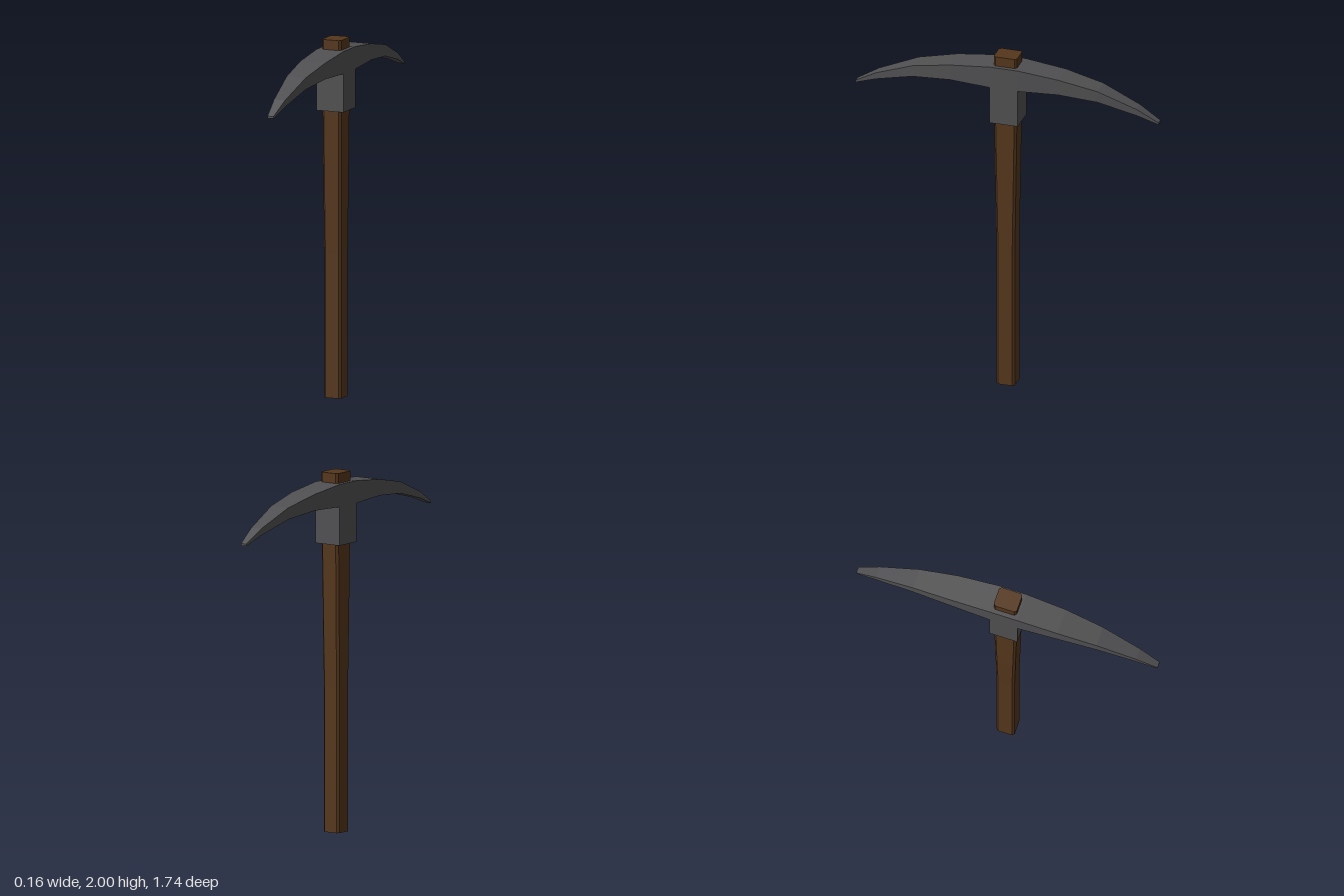
import * as THREE from 'three';

// Skin a list of rings (counter-clockwise about the direction of travel) and cap both ends
function loft(rings) {
  const pos = [];
  const tri = (...pts) => pts.forEach((p) => pos.push(...p));
  const n = rings[0].length;
  for (let k = 0; k < rings.length - 1; k++) {
    const r = rings[k], s = rings[k + 1];
    for (let i = 0; i < n; i++) {
      const j = (i + 1) % n;
      tri(r[i], r[j], s[j]);
      tri(r[i], s[j], s[i]);
    }
  }
  const first = rings[0], last = rings[rings.length - 1];
  for (let i = 1; i < n - 1; i++) {
    tri(first[0], first[i + 1], first[i]);
    tri(last[0], last[i], last[i + 1]);
  }
  const g = new THREE.BufferGeometry();
  g.setAttribute('position', new THREE.Float32BufferAttribute(pos, 3));
  g.computeVertexNormals();
  return g;
}

// Rectangle with chamfered corners, lying at height y
function handleRing([y, w, d]) {
  const c = 0.012;
  return [
    [-w + c, y, d], [w - c, y, d], [w, y, d - c], [w, y, -d + c],
    [w - c, y, -d], [-w + c, y, -d], [-w, y, -d + c], [-w, y, d - c],
  ];
}

export function createModel() {
  const group = new THREE.Group();
  const wood = new THREE.MeshStandardMaterial({ color: 0x54361c, flatShading: true });
  const iron = new THREE.MeshStandardMaterial({ color: 0x505052, flatShading: true });
  const add = (name, geometry, material) => {
    const mesh = new THREE.Mesh(geometry, material);
    mesh.name = name;
    group.add(mesh);
    return mesh;
  };

  // Handle: height, half width, half depth; it swells towards the head
  const handle = [[0, 0.052, 0.052], [0.8, 0.052, 0.052], [1.1, 0.054, 0.057], [1.6, 0.056, 0.065], [2, 0.057, 0.067]];
  add('handle', loft(handle.map(handleRing)), wood);

  // Curved double pick: distance from centre, half width, bottom, top
  const half = [
    [0.08, 0.081, 1.82, 1.945],
    [0.31, 0.074, 1.83, 1.92],
    [0.53, 0.057, 1.81, 1.875],
    [0.75, 0.033, 1.75, 1.787],
    [0.87, 0.018, 1.705, 1.717],
  ];
  const mirrored = half.map(([z, ...rest]) => [-z, ...rest]).reverse();
  const rings = [...mirrored, ...half].map(([z, w, b, t]) => [[-w, b, z], [w, b, z], [w, t, z], [-w, t, z]]);
  add('pickHead', loft(rings), iron);

  // Square socket below the pick head
  add('socket', new THREE.BoxGeometry(0.162, 0.225, 0.162), iron).position.y = 1.7175;

  return group;
}
